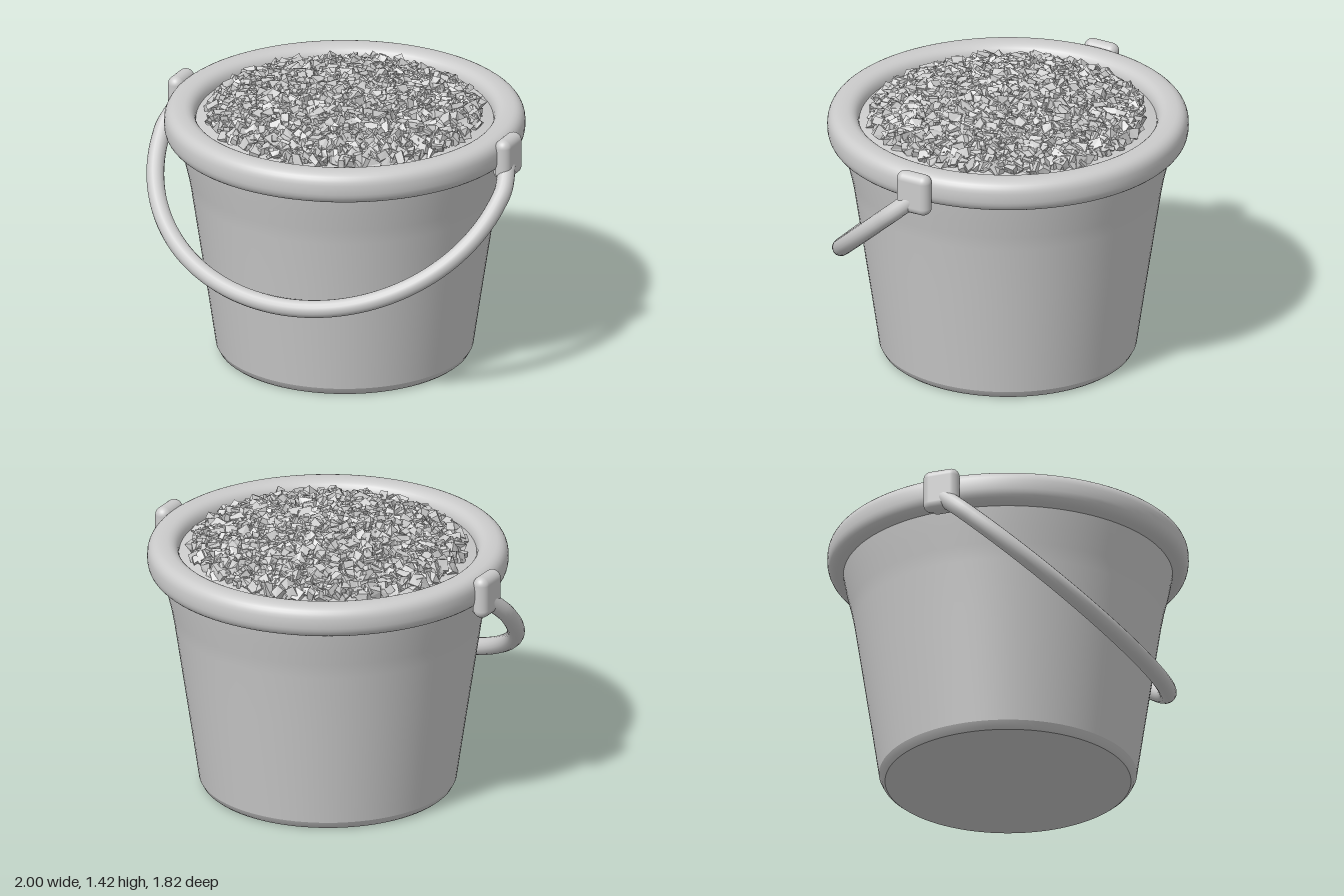
import * as THREE from 'three';
import { mergeGeometries } from 'three/addons/utils/BufferGeometryUtils.js';
import { RoundedBoxGeometry } from 'three/addons/geometries/RoundedBoxGeometry.js';

const smooth = new THREE.MeshStandardMaterial({ color: 0xcccccc });
const faceted = new THREE.MeshStandardMaterial({ color: 0xcccccc, flatShading: true });

// Seeded random numbers from -1 to 1
let seed = 7;
const rand = () => {
  seed = (seed * 16807) % 2147483647;
  return (seed / 2147483647) * 2 - 1;
};

const lathe = (pts) => new THREE.LatheGeometry(pts.map(([x, y]) => new THREE.Vector2(x, y)), 96);
const fillHeight = (r) => 1.345 - 0.17 * r * r;

// One irregular stone: a box whose eight corners are pushed about
function stone(size) {
  const g = new THREE.BoxGeometry(size, size * (0.65 + 0.25 * rand()), size * (0.85 + 0.25 * rand()));
  g.deleteAttribute('uv');
  const corners = new Map();
  const p = g.attributes.position;
  for (let i = 0; i < p.count; i++) {
    const key = [p.getX(i) > 0, p.getY(i) > 0, p.getZ(i) > 0].join();
    if (!corners.has(key)) corners.set(key, [0, 1, 2].map(() => rand() * size * 0.17));
    const [dx, dy, dz] = corners.get(key);
    p.setXYZ(i, p.getX(i) + dx, p.getY(i) + dy, p.getZ(i) + dz);
  }
  return g;
}

export function createModel() {
  const model = new THREE.Group();
  model.name = 'bucketOfGravel';
  const add = (name, geometry, material = smooth, parent = model) => {
    const mesh = new THREE.Mesh(geometry, material);
    mesh.name = name;
    parent.add(mesh);
    return mesh;
  };

  // Tapered wall with a small bevel at the foot and a flare below the rim
  add('footBevel', lathe([[0.62, 0], [0.635, 0.012], [0.65, 0.04]]));
  add('wall', lathe([[0.65, 0.04], [0.688, 0.3], [0.733, 0.6], [0.775, 0.88], [0.79, 0.96], [0.812, 1.05], [0.835, 1.17]]));
  add('base', lathe([[0, 0], [0.62, 0]]));

  // Thick rolled rim with a slightly squared section
  const rim = [];
  const squared = (v) => Math.sign(v) * Math.abs(v) ** 0.78;
  for (let i = 0; i <= 32; i++) {
    const a = -Math.PI + (i / 32) * Math.PI * 2;
    rim.push([0.83 + 0.081 * squared(Math.cos(a)), 1.23 + 0.085 * squared(Math.sin(a))]);
  }
  add('rim', lathe(rim));

  // Smooth mound under the loose stones
  const mound = [];
  for (let i = 0; i <= 12; i++) {
    const r = 0.78 * (1 - i / 12);
    mound.push([r, fillHeight(r)]);
  }
  add('mound', lathe(mound));

  // Stones spread evenly over the mound in a jittered spiral
  const stones = [];
  const count = 2000;
  for (let i = 0; i < count; i++) {
    const r = 0.675 * Math.sqrt((i + 0.5) / count) + rand() * 0.01;
    const a = i * 2.39996 + rand() * 0.03;
    const g = stone(0.052 + 0.014 * rand());
    g.rotateX(rand() * Math.PI).rotateY(rand() * Math.PI).rotateZ(rand() * Math.PI);
    g.translate(r * Math.cos(a), fillHeight(r) + 0.012 + rand() * 0.013, r * Math.sin(a));
    stones.push(g);
  }
  add('gravel', mergeGeometries(stones), faceted);

  // Bail handle hanging forward in a sloping plane
  const onPlane = (x, y) => new THREE.Vector3(x, y, 0.05 + (1.14 - y) * 1.135);
  const path = [onPlane(-0.915, 1.19)];
  for (let i = 0; i <= 32; i++) {
    const a = Math.PI * (1 + i / 32);
    path.push(onPlane(0.955 * Math.cos(a), 1.08 + 0.57 * Math.sin(a)));
  }
  path.push(onPlane(0.915, 1.19));
  add('handle', new THREE.TubeGeometry(new THREE.CatmullRomCurve3(path), 120, 0.045, 16));

  // Rounded lugs that clip the handle to the rim
  for (const side of [-1, 1]) {
    const lug = new THREE.Group();
    lug.name = side > 0 ? 'leftLug' : 'rightLug';
    add('lugBody', new RoundedBoxGeometry(0.085, 0.22, 0.19, 6, 0.042), smooth, lug)
      .position.set(side * 0.923, 1.213, 0);
    add('lugFoot', new RoundedBoxGeometry(0.09, 0.1, 0.13, 4, 0.03), smooth, lug)
      .position.set(side * 0.905, 1.155, 0);
    model.add(lug);
  }
  return model;
}
